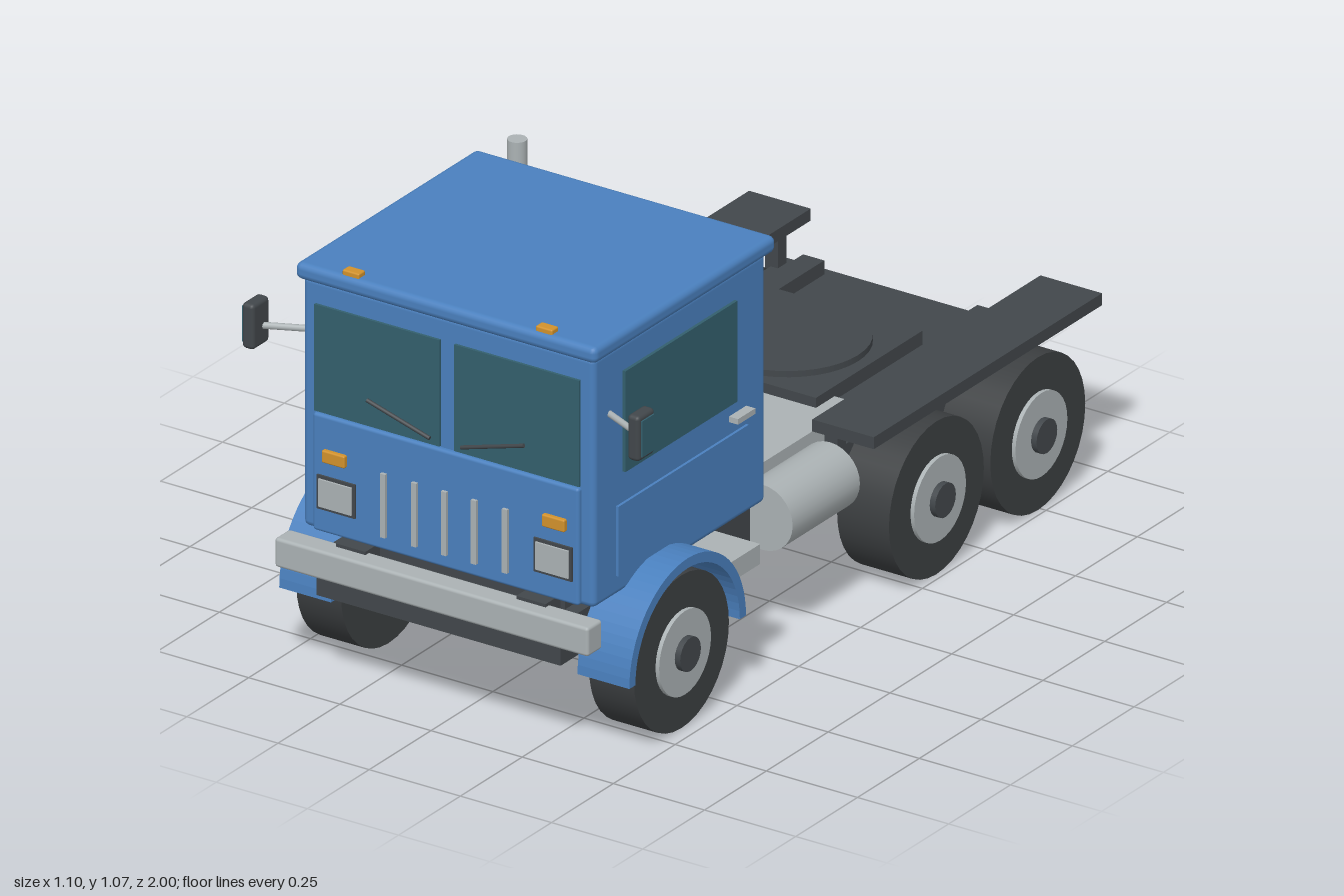
import * as THREE from 'three';
import { RoundedBoxGeometry } from 'three/addons/geometries/RoundedBoxGeometry.js';

const paint = (name, color) => {
  const m = new THREE.MeshStandardMaterial({ color });
  m.name = name;
  return m;
};

export function createModel() {
  const truck = new THREE.Group();
  truck.name = 'truck';
  const blue = paint('cab blue', 0x4a80be);
  const grey = paint('light grey metal', 0xabb2b4);
  const dark = paint('dark frame', 0x42474b);
  const rubber = paint('tyre rubber', 0x3c3f41);
  const glass = paint('tinted glass', 0x335f6d);
  const amber = paint('amber lamp', 0xd2922c);
  const red = paint('red lamp', 0xa8232b);

  const add = (name, geo, mat, x = 0, y = 0, z = 0) => {
    const mesh = new THREE.Mesh(geo, mat);
    mesh.name = name;
    mesh.position.set(x, y, z);
    truck.add(mesh);
    return mesh;
  };
  // box from its limits on each axis; r rounds the edges
  const box = (name, mat, [x0, x1], [y0, y1], [z0, z1], r = 0) => {
    const s = [Math.abs(x1 - x0), y1 - y0, z1 - z0];
    const geo = r ? new RoundedBoxGeometry(...s, 2, r) : new THREE.BoxGeometry(...s);
    return add(name, geo, mat, (x0 + x1) / 2, (y0 + y1) / 2, (z0 + z1) / 2);
  };
  // rod between two points
  const rod = (name, mat, a, b, r, sides = 16) => {
    const p = new THREE.Vector3(...a), q = new THREE.Vector3(...b);
    const dir = q.clone().sub(p);
    const mesh = add(name, new THREE.CylinderGeometry(r, r, dir.length(), sides), mat);
    mesh.position.copy(p).add(q).multiplyScalar(0.5);
    mesh.quaternion.setFromUnitVectors(new THREE.Vector3(0, 1, 0), dir.normalize());
    return mesh;
  };

  // chassis, rails and deck
  box('chassis', dark, [-0.335, 0.335], [0.24, 0.345], [-0.925, 0.97]);
  box('cabMount', dark, [-0.3, 0.3], [0.34, 0.39], [0.25, 0.9]);
  box('deck', grey, [-0.288, 0.288], [0.34, 0.39], [-0.3, 0.3]);
  box('couplingBase', dark, [-0.225, 0.225], [0.375, 0.415], [-0.655, -0.225]);
  add('couplingDisc', new THREE.CylinderGeometry(0.195, 0.195, 0.025, 40), dark, 0, 0.418, -0.44);

  // cab shell and roof
  box('cab', blue, [-0.4, 0.4], [0.382, 1.01], [0.235, 0.93], 0.015);
  box('roof', blue, [-0.413, 0.413], [1.003, 1.045], [0.21, 0.945], 0.016);
  box('frontPanel', blue, [-0.365, 0.365], [0.385, 0.68], [0.9, 0.942], 0.008);
  box('bumper', grey, [-0.43, 0.43], [0.297, 0.37], [0.94, 1.0], 0.008);

  for (const x of [-0.167, -0.082, 0, 0.082, 0.167])
    box('grilleBar', grey, [x - 0.007, x + 0.007], [0.42, 0.58], [0.938, 0.95]);

  // exhaust stack behind the cab
  rod('exhaustStack', grey, [-0.332, 0.44, 0.162], [-0.332, 1.07, 0.162], 0.023, 20);
  for (const y of [0.52, 0.86])
    rod('exhaustBracket', dark, [-0.332, y, 0.17], [-0.332, y, 0.24], 0.01, 10);

  // arch-shaped mudguard outline, extruded across the wheel
  const arch = new THREE.Shape();
  arch.absarc(0, 0, 0.236, 0, Math.PI, false);
  arch.absarc(0, 0, 0.211, Math.PI, 0, true);
  arch.closePath();
  const archGeo = new THREE.ExtrudeGeometry(arch, { depth: 0.142, bevelEnabled: false, curveSegments: 16 });
  archGeo.rotateY(Math.PI / 2);

  for (const s of [-1, 1]) {
    const sx = (a, b) => [s * a, s * b];

    // wheels and axle blocks
    for (const [z, inner, outer] of [[0.67, 0.34, 0.463], [-0.33, 0.342, 0.484], [-0.74, 0.342, 0.484]]) {
      const y = 0.192;
      rod('tyre', rubber, [s * inner, y, z], [s * outer, y, z], 0.192, 36);
      rod('rim', grey, [s * (inner + 0.01), y, z], [s * (outer + 0.01), y, z], 0.105, 32);
      rod('hub', dark, [s * (inner + 0.02), y, z], [s * (outer + 0.025), y, z], 0.042, 20);
      box('axleBlock', dark, sx(0.227, 0.283), [0.185, 0.25], [z - 0.03, z + 0.03]);
      if (s > 0) rod('axle', dark, [-0.36, y, z], [0.36, y, z], 0.025, 16);
    }

    // mudguards
    add('frontMudguard', archGeo, blue, s > 0 ? 0.338 : -0.48, 0.195, 0.67);
    box('rearMudguard', dark, sx(0.315, 0.484), [0.413, 0.443], [-1.0, -0.077]);
    for (const z of [-0.145, -0.885])
      box('mudguardPost', dark, sx(0.315, 0.35), [0.335, 0.415], [z - 0.018, z + 0.018]);

    // chassis fittings
    box('rail', dark, sx(0.21, 0.268), [0.34, 0.38], [-0.9, -0.2]);
    rod('fuelTank', grey, [s * 0.37, 0.322, -0.068], [s * 0.37, 0.322, 0.204], 0.082, 28);
    box('step', grey, sx(0.3, 0.46), [0.285, 0.335], [0.347, 0.47]);
    box('tailLamp', red, sx(0.255, 0.318), [0.29, 0.335], [-0.938, -0.92]);
    box('bumperBracket', dark, sx(0.207, 0.287), [0.33, 0.378], [0.9, 0.96]);

    // windscreen and wiper
    box('windscreen', glass, sx(0.02, 0.363), [0.683, 0.95], [0.929, 0.937]);
    rod('wiper', dark, [s * 0.043, 0.7, 0.942], [s * 0.215, 0.75, 0.942], 0.005, 8);

    // front lamps
    box('headlampFrame', dark, sx(0.245, 0.35), [0.445, 0.53], [0.935, 0.947]);
    box('headlamp', grey, sx(0.252, 0.343), [0.453, 0.522], [0.945, 0.952]);
    box('indicator', amber, sx(0.27, 0.333), [0.566, 0.597], [0.935, 0.953], 0.004);
    box('roofMarker', amber, sx(0.242, 0.288), [1.04, 1.056], [0.908, 0.935], 0.004);

    // door
    box('doorWindow', glass, sx(0.399, 0.408), [0.685, 0.938], [0.362, 0.815]);
    box('doorPanel', blue, sx(0.399, 0.407), [0.433, 0.608], [0.315, 0.842]);
    box('doorHandle', grey, sx(0.398, 0.425), [0.64, 0.654], [0.315, 0.385]);

    // mirror
    rod('mirrorArm', grey, [s * 0.395, 0.85, 0.865], [s * 0.525, 0.85, 0.925], 0.008, 10);
    box('mirrorCase', dark, sx(0.512, 0.545), [0.802, 0.916], [0.896, 0.964], 0.01);
    box('mirrorGlass', glass, sx(0.542, 0.549), [0.814, 0.904], [0.905, 0.955]);
  }
  return truck;
}
